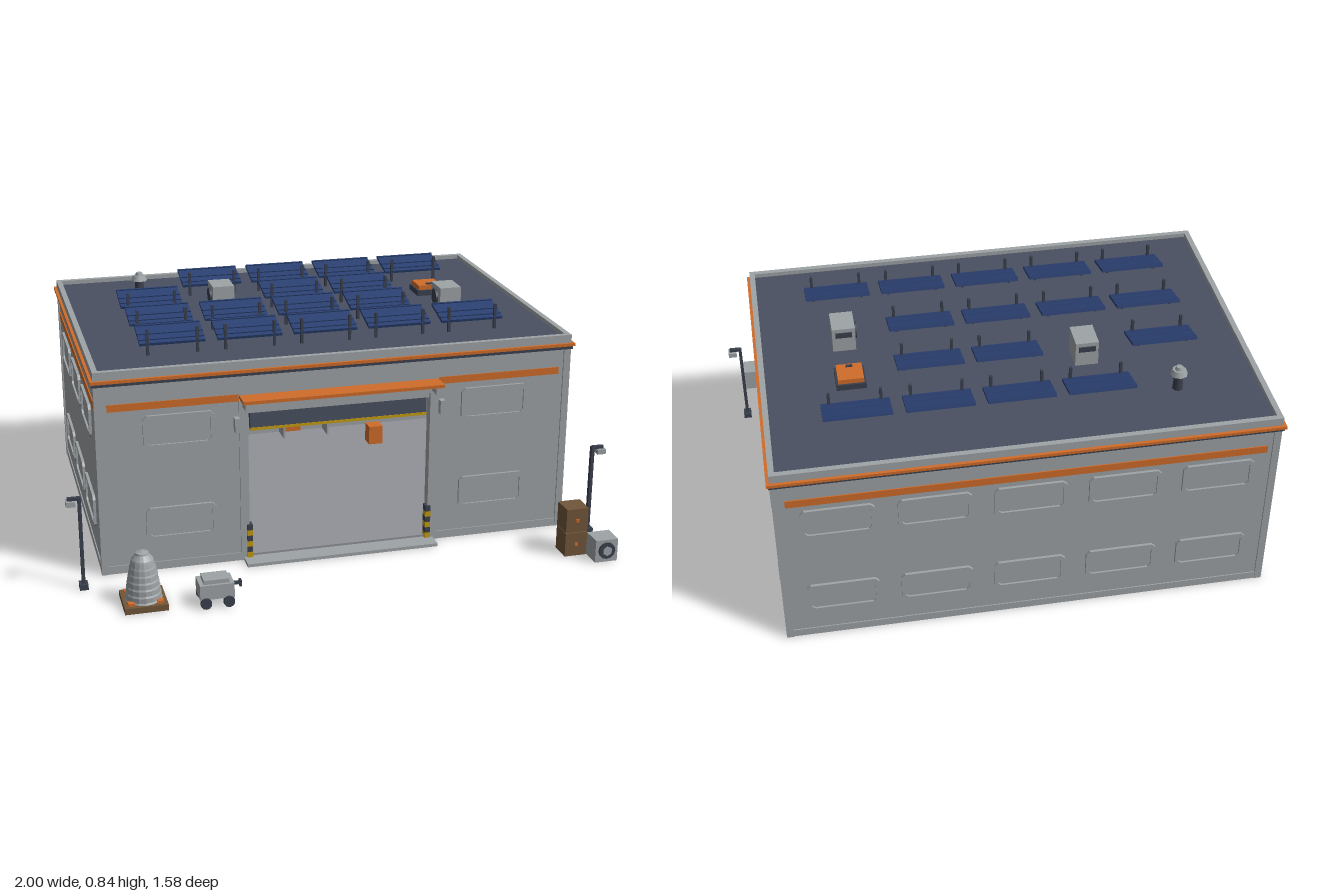
import * as THREE from 'three';

const mat = (name, color) => Object.assign(new THREE.MeshStandardMaterial({ color }), { name });

export function createModel() {
  const root = new THREE.Group();
  root.name = 'hangar';
  const grey = mat('panel grey', 0x9ea3a6), concrete = mat('concrete', 0x919299);
  const slate = mat('roof slate', 0x4a5061), navy = mat('solar navy', 0x2b4072);
  const orange = mat('safety orange', 0xd06c2a), yellow = mat('hazard yellow', 0xc49c10);
  const brown = mat('crate brown', 0x70563a), dark = mat('dark metal', 0x3a404e);

  const group = (name, x = 0, y = 0, z = 0, parent = root) => {
    const g = new THREE.Group();
    g.name = name;
    g.position.set(x, y, z);
    parent.add(g);
    return g;
  };
  const add = (p, name, geo, m, x = 0, y = 0, z = 0) => {
    const o = new THREE.Mesh(geo, m);
    o.name = name;
    o.position.set(x, y, z);
    p.add(o);
    return o;
  };
  // Box from its limits on each axis
  const box = (p, name, m, x0, x1, y0, y1, z0, z1) =>
    add(p, name, new THREE.BoxGeometry(x1 - x0, y1 - y0, z1 - z0), m, (x0 + x1) / 2, (y0 + y1) / 2, (z0 + z1) / 2);
  const cyl = (p, name, m, r0, r1, h, n, x, y, z) => add(p, name, new THREE.CylinderGeometry(r0, r1, h, n), m, x, y, z);
  // Rectangular ring of four bars lying flat
  const ring = (name, m, X, z0, z1, w, y0, y1) => {
    const g = group(name);
    for (const s of [-1, 1]) box(g, 'side', m, Math.min(s * X, s * (X - w)), Math.max(s * X, s * (X - w)), y0, y1, z0, z1);
    box(g, 'back', m, -X + w, X - w, y0, y1, z0, z0 + w);
    box(g, 'front', m, -X + w, X - w, y0, y1, z1 - w, z1);
  };

  // Walls and floor
  const W = 0.872, ZF = 0.43, ZB = -0.775, H = 0.715;
  box(root, 'floor', concrete, -0.85, 0.85, 0.003, 0.02, ZB + 0.02, ZF);
  for (const s of [-1, 1]) box(root, 'sideWall', grey, s * (W - 0.015) - 0.015, s * (W - 0.015) + 0.015, 0, H, ZB, ZF);
  box(root, 'backWall', grey, -W, W, 0, H, ZB, ZB + 0.03);
  const wall = new THREE.Shape([[-W, 0], [-0.34, 0], [-0.34, 0.59], [0.34, 0.59], [0.34, 0], [W, 0], [W, H], [-W, H]]
    .map(p => new THREE.Vector2(...p)));
  add(root, 'frontWall', new THREE.ExtrudeGeometry(wall, { depth: 0.03, bevelEnabled: false }), grey, 0, 0, ZF - 0.03);
  for (const x of [-1, 1]) for (const z of [ZF, ZB])
    box(root, 'cornerPost', grey, x * 0.865 - 0.013, x * 0.865 + 0.013, 0, H, z - 0.006 - (z > 0 ? 0.012 : 0), z + 0.006 + (z > 0 ? 0 : 0.012));
  for (const s of [-1, 1]) {
    box(root, 'baseboard', grey, s * W - 0.004, s * W + 0.004, 0, 0.03, ZB, ZF);
    box(root, 'frontBaseboard', grey, s * 0.61 - 0.255, s * 0.61 + 0.255, 0, 0.03, ZF, ZF + 0.004);
  }
  box(root, 'backBaseboard', grey, -W, W, 0, 0.03, ZB - 0.004, ZB);
  box(root, 'backFloorMarking', orange, -0.84, 0.84, 0, 0.003, ZB + 0.03, ZB + 0.042);
  box(root, 'sideFloorMarking', orange, 0.832, 0.845, 0, 0.003, ZB + 0.04, ZF - 0.03);

  // Roof, parapet and trim
  box(root, 'roofDeck', slate, -0.865, 0.865, 0.71, 0.747, -0.77, 0.42);
  ring('parapet', grey, 0.878, -0.783, 0.436, 0.02, 0.733, 0.763);
  ring('orangeTrim', orange, 0.889, -0.795, 0.447, 0.03, 0.722, 0.733);
  ring('darkTrim', dark, 0.883, -0.788, 0.441, 0.025, 0.71, 0.722);

  // Raised window panels with clipped corners
  const clipped = (w, h, c) => [[-w + c, -h], [w - c, -h], [w, -h + c], [w, h - c], [w - c, h], [-w + c, h], [-w, h - c], [-w, -h + c]]
    .map(p => new THREE.Vector2(...p));
  const frame = new THREE.Shape(clipped(0.127, 0.061, 0.014));
  frame.holes.push(new THREE.Path(clipped(0.113, 0.048, 0.01)));
  const frameGeo = new THREE.ExtrudeGeometry(frame, { depth: 0.01, bevelEnabled: false });
  const paneGeo = new THREE.ExtrudeGeometry(new THREE.Shape(clipped(0.114, 0.049, 0.01)), { depth: 0.003, bevelEnabled: false });
  const windowAt = (x, y, z, ry) => {
    const g = group('window', x, y, z);
    g.rotation.y = ry;
    add(g, 'windowFrame', frameGeo, grey);
    add(g, 'windowPane', paneGeo, grey);
  };
  for (const y of [0.53, 0.181]) {
    for (const s of [-1, 1]) {
      windowAt(s * 0.585, y, ZF, 0);
      for (const z of [0.157, -0.17, -0.498]) windowAt(s * W, y, z, s * Math.PI / 2);
    }
    for (let i = -2; i <= 2; i++) {
      windowAt(i * 0.332, y, ZB, Math.PI);
      windowAt(i * 0.332, y, ZB + 0.027, 0);
    }
  }

  // Orange stripes round the walls
  for (const s of [-1, 1]) {
    box(root, 'sideStripe', orange, s * W - 0.004, s * W + 0.004, 0.613, 0.642, -0.738, 0.394);
    box(root, 'frontStripe', orange, s * 0.602 - 0.232, s * 0.602 + 0.232, 0.615, 0.641, ZF, ZF + 0.004);
  }
  box(root, 'backStripe', orange, -0.835, 0.835, 0.613, 0.642, ZB - 0.004, ZB);

  // Door: frame, canopy, rolled shutter, hazard posts, lights, threshold
  const door = group('doorway');
  for (const s of [-1, 1]) {
    box(door, 'doorJamb', grey, s * 0.354 - 0.016, s * 0.354 + 0.016, 0, 0.62, ZF - 0.03, ZF + 0.007);
    for (let i = 0; i < 6; i++)
      box(door, 'hazardBand', i % 2 ? dark : yellow, s * 0.338 - 0.01, s * 0.338 + 0.01, 0.012 + i * 0.0215, 0.0335 + i * 0.0215, ZF - 0.015, ZF + 0.014);
    box(door, 'wallLight', grey, s * 0.38 - 0.009, s * 0.38 + 0.009, 0.505, 0.558, ZF, ZF + 0.027);
    box(door, 'canopyBracket', grey, s * 0.35 - 0.008, s * 0.35 + 0.008, 0.595, 0.625, ZF, ZF + 0.06);
  }
  box(door, 'lintel', grey, -0.34, 0.34, 0.585, 0.62, ZF, ZF + 0.007);
  box(door, 'canopy', orange, -0.368, 0.368, 0.624, 0.636, ZF, 0.503);
  box(door, 'shutterHousing', grey, -0.338, 0.338, 0.565, 0.59, ZF - 0.05, ZF - 0.003);
  box(door, 'shutter', slate, -0.328, 0.328, 0.508, 0.565, ZF - 0.03, ZF - 0.006);
  box(door, 'shutterEdge', yellow, -0.328, 0.328, 0.498, 0.508, ZF - 0.032, ZF - 0.004);
  box(door, 'threshold', grey, -0.36, 0.36, 0, 0.012, ZF - 0.02, 0.5);

  // Solar panels: columns present in each row
  const xs = [-0.567, -0.285, -0.003, 0.278, 0.56];
  const rows = [[-0.535, [1, 2, 3, 4]], [-0.296, [0, 2, 3]], [-0.06, [0, 1, 2, 3]], [0.182, [0, 1, 2, 3, 4]]];
  for (const [z, cols] of rows) for (const c of cols) {
    const g = group('solarPanel', xs[c], 0.747, z);
    const t = group('solarTilt', 0, 0.058, 0, g);
    t.rotation.x = 0.26;
    box(t, 'solarSheet', navy, -0.119, 0.119, -0.005, 0.005, -0.065, 0.065);
    for (const rz of [-0.055, 0.005, 0.042]) box(t, 'solarRib', navy, -0.119, 0.119, 0.005, 0.009, rz - 0.003, rz + 0.003);
    for (const s of [-1, 1]) {
      box(g, 'panelPost', dark, s * 0.09 - 0.005, s * 0.09 + 0.005, 0, 0.095, 0.053, 0.063);
      box(g, 'panelRail', dark, s * 0.09 - 0.004, s * 0.09 + 0.004, 0.042, 0.05, -0.03, 0.06);
    }
  }

  // Rooftop air units, hatch and vent
  for (const [x, z] of [[-0.284, -0.295], [0.562, -0.061]]) {
    const g = group('airUnit', x, 0.747, z);
    box(g, 'airBox', grey, -0.042, 0.042, 0, 0.095, -0.054, 0.054);
    cyl(g, 'airFan', dark, 0.03, 0.03, 0.008, 12, -0.046, 0.05, 0).rotation.z = Math.PI / 2;
    box(g, 'airGrille', dark, -0.03, 0.03, 0.06, 0.08, -0.059, -0.054);
  }
  const hatch = group('roofHatch', 0.56, 0.747, -0.295);
  box(hatch, 'hatchBase', dark, -0.053, 0.053, 0, 0.022, -0.053, 0.053);
  box(hatch, 'hatchLid', orange, -0.046, 0.046, 0.022, 0.04, -0.046, 0.046);
  box(hatch, 'hatchHandle', dark, -0.012, 0.012, 0.04, 0.046, 0.026, 0.034);
  const vent = group('roofVent', -0.57, 0.747, -0.535);
  cyl(vent, 'ventPipe', dark, 0.016, 0.02, 0.065, 8, 0, 0.032, 0);
  cyl(vent, 'ventCap', grey, 0.024, 0.032, 0.02, 8, 0, 0.072, 0);
  cyl(vent, 'ventTip', grey, 0.012, 0.016, 0.014, 8, 0, 0.087, 0);

  // Lamp posts either side of the front
  for (const s of [-1, 1]) {
    const g = group('lampPost', s * 0.952, 0, 0.515);
    box(g, 'lampBase', dark, -0.015, 0.015, 0, 0.02, -0.02, 0.02);
    box(g, 'lampPole', dark, -0.006, 0.006, 0.02, 0.345, -0.008, 0.008);
    box(g, 'lampArm', dark, s * 0.02 - 0.022, s * 0.02 + 0.022, 0.337, 0.348, -0.007, 0.007);
    box(g, 'lampHead', grey, s * 0.031 - 0.016, s * 0.031 + 0.016, 0.318, 0.337, -0.018, 0.018);
  }

  // Ribbed engine bell standing on a pallet
  const bell = (name, x, z, half, m, bellMat, k) => {
    const g = group(name, x, 0, z);
    box(g, 'pallet', m, -half, half, 0, 0.022, -half, half);
    const pts = [];
    for (let i = 0; i <= 7; i++) {
      const t = i / 7, r = k * (0.024 + 0.042 * Math.sqrt(1 - t));
      pts.push(new THREE.Vector2(r, 0.022 + 0.165 * t));
      pts.push(new THREE.Vector2(r * 0.95, 0.022 + 0.165 * t + 0.006));
    }
    pts.push(new THREE.Vector2(0, 0.2));
    const flat = new THREE.LatheGeometry(pts, 16).toNonIndexed();
    flat.computeVertexNormals();
    add(g, 'bell', flat, bellMat);
    return g;
  };
  const outer = bell('outdoorEngineBell', -0.765, 0.68, 0.075, brown, grey, 1);
  for (const x of [-1, 1]) for (const z of [-1, 1])
    box(outer, 'cornerClamp', orange, x * 0.05 - 0.011, x * 0.05 + 0.011, 0.022, 0.032, z * 0.05 - 0.011, z * 0.05 + 0.011);
  bell('indoorEngineBell', -0.59, -0.12, 0.068, yellow, dark, 0.95);

  // Wheeled generator
  const cart = group('generator', -0.525, 0, 0.733);
  box(cart, 'generatorBody', grey, -0.06, 0.06, 0.032, 0.085, -0.042, 0.042);
  box(cart, 'generatorLid', grey, -0.045, 0.045, 0.085, 0.1, -0.032, 0.032);
  for (const x of [-0.04, 0.04]) for (const z of [-0.044, 0.044])
    cyl(cart, 'wheel', dark, 0.02, 0.02, 0.014, 10, x, 0.02, z).rotation.x = Math.PI / 2;
  box(cart, 'hitch', dark, 0.06, 0.09, 0.06, 0.07, -0.005, 0.005);
  box(cart, 'hitchGrip', dark, 0.084, 0.092, 0.052, 0.076, -0.008, 0.008);

  // Stacked crates and a fan unit
  for (const y of [0, 0.094]) {
    box(root, 'crate', brown, 0.782, 0.866, y, y + 0.091, 0.617, 0.7);
    box(root, 'crateLatch', orange, 0.818, 0.83, y + 0.04, y + 0.052, 0.7, 0.704);
  }
  const fan = group('fanUnit', 0.911, 0, 0.735);
  box(fan, 'fanBox', grey, -0.043, 0.043, 0, 0.086, -0.04, 0.04);
  cyl(fan, 'fanRim', dark, 0.032, 0.032, 0.006, 12, 0, 0.045, 0.043).rotation.x = Math.PI / 2;
  cyl(fan, 'fanHub', grey, 0.018, 0.018, 0.006, 6, 0, 0.045, 0.048).rotation.x = Math.PI / 2;

  // Indoor furnishings: tool board, bench, cabinets, dashed ring on back wall
  const zb = ZB + 0.03;
  box(root, 'toolBoard', grey, 0.045, 0.255, 0.1, 0.25, zb, zb + 0.015);
  for (let i = 0; i < 7; i++) box(root, 'tool', dark, 0.065 + i * 0.026, 0.073 + i * 0.026, 0.13 + (i % 3) * 0.015, 0.21, zb + 0.015, zb + 0.021);
  box(root, 'workbench', grey, 0.045, 0.255, 0.085, 0.1, zb, zb + 0.09);
  for (const x of [0.05, 0.245]) box(root, 'benchLeg', grey, x, x + 0.008, 0.02, 0.085, zb, zb + 0.085);
  box(root, 'toolBox', orange, 0.06, 0.13, 0.045, 0.075, zb, zb + 0.07);
  box(root, 'storageChest', dark, -0.262, -0.172, 0, 0.12, zb, zb + 0.08);
  box(root, 'chestLid', slate, -0.267, -0.167, 0.12, 0.13, zb, zb + 0.085);
  box(root, 'controlPanel', dark, -0.332, -0.3, 0.13, 0.28, zb, zb + 0.03);
  for (let i = 0; i < 18; i++) {
    const a = i * Math.PI / 9;
    add(root, 'ringDash', new THREE.BoxGeometry(0.024, 0.014, 0.008), orange, 0.083 * Math.cos(a), 0.515 + 0.083 * Math.sin(a), zb + 0.014).rotation.z = a + Math.PI / 2;
  }
  box(root, 'machineStand', dark, -0.65, -0.56, 0, 0.07, 0.13, 0.22);
  for (let i = 0; i < 5; i++) cyl(root, 'gasBottle', i % 2 ? yellow : grey, 0.018, 0.018, 0.13, 10, -0.76, 0.065, -0.48 + i * 0.055);
  for (let i = 0; i < 3; i++) cyl(root, 'trafficCone', orange, 0.006, 0.025, 0.07, 10, -0.75 + i * 0.06, 0.035, 0.29);
  box(root, 'indoorCrate', brown, 0.68, 0.76, 0, 0.08, 0.22, 0.3);
  box(root, 'wallLocker', orange, 0.79, 0.838, 0, 0.2, -0.41, -0.28);
  box(root, 'toolTrolley', orange, 0.39, 0.45, 0, 0.1, -0.56, -0.5);
  return root;
}
